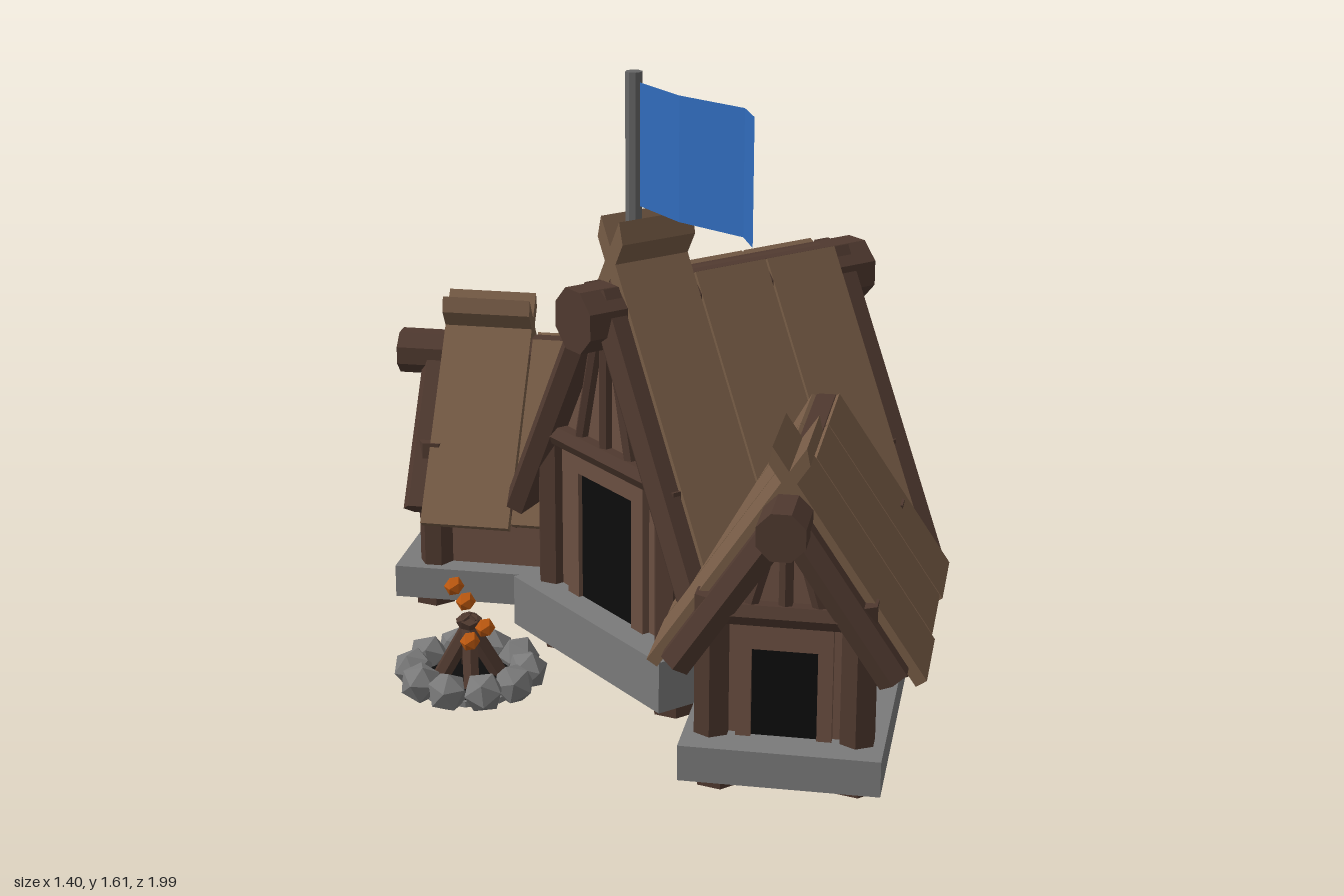
import * as THREE from 'three';

const mat = (color, side = THREE.FrontSide) => new THREE.MeshStandardMaterial({ color, flatShading: true, side });
const M = {
  roof: mat(0x775c46), wall: mat(0x6b4f41), log: mat(0x4f392f), stone: mat(0x7a7a7a),
  black: mat(0x0c0c0c), iron: mat(0x666666), flag: mat(0x306cbc, THREE.DoubleSide), ember: mat(0xc05a10),
};
const V = (x, y, z) => new THREE.Vector3(x, y, z);

function add(parent, name, geometry, material, x = 0, y = 0, z = 0) {
  const mesh = new THREE.Mesh(geometry, material);
  mesh.name = name;
  mesh.position.set(x, y, z);
  parent.add(mesh);
  return mesh;
}

// Box given by its minimum and maximum corners
function box(parent, name, material, a, b) {
  add(parent, name, new THREE.BoxGeometry(b[0] - a[0], b[1] - a[1], b[2] - a[2]), material,
    (a[0] + b[0]) / 2, (a[1] + b[1]) / 2, (a[2] + b[2]) / 2);
}

// Faceted round timber between two points
function log(parent, name, a, b, r, sides = 6, material = M.log) {
  const dir = b.clone().sub(a);
  const geometry = new THREE.CylinderGeometry(r, r, dir.length(), sides).rotateY(Math.PI / sides);
  const mesh = add(parent, name, geometry, material);
  mesh.position.copy(a).add(b).multiplyScalar(0.5);
  mesh.quaternion.setFromUnitVectors(V(0, 1, 0), dir.normalize());
}

// Roof plank running down the slope, its upper end optionally cut back underneath
function plankGeometry(width, thick, length, cut) {
  const geometry = new THREE.BoxGeometry(width, thick, length);
  const pos = geometry.attributes.position;
  for (let i = 0; i < pos.count; i++)
    if (pos.getY(i) < 0 && pos.getZ(i) < 0) pos.setZ(i, pos.getZ(i) + cut);
  return geometry;
}

// Timber hall with its ridge along x and its door at the -x end
function hall(name, p) {
  const g = new THREE.Group();
  g.name = name;
  const cos = Math.cos(p.angle), tan = Math.tan(p.angle);
  box(g, 'foundation', M.stone, [p.base[0], p.baseY[0], -p.base[2]], [p.base[1], p.baseY[1], p.base[2]]);

  // Gabled walls, extruded along the ridge
  const inner = p.apex - p.thick / cos - 0.005, floor = p.baseY[1], w = p.half;
  const gable = new THREE.Shape([
    new THREE.Vector2(-w, floor), new THREE.Vector2(w, floor), new THREE.Vector2(w, inner - w * tan),
    new THREE.Vector2(0, inner), new THREE.Vector2(-w, inner - w * tan),
  ]);
  const walls = new THREE.ExtrudeGeometry(gable, { depth: p.wall[1] - p.wall[0], bevelEnabled: false });
  add(g, 'walls', walls.rotateY(Math.PI / 2), M.wall, p.wall[0]);

  // Corner posts
  for (const x of p.wall) for (const s of [-1, 1])
    log(g, 'cornerPost', V(x, floor, s * w), V(x, inner - w * tan + 0.01, s * w), p.post);

  // Doorway with jambs, lintel and gable struts
  const f = p.wall[0], d = p.door;
  box(g, 'doorway', M.black, [f - 0.008, floor, -d[0]], [f, floor + d[1], d[0]]);
  for (const s of [-1, 1]) {
    const z = s * (d[0] + d[2] / 2);
    box(g, 'doorJamb', M.wall, [f - 0.02, floor, z - d[2] / 2], [f, p.lintel, z + d[2] / 2]);
  }
  box(g, 'doorHead', M.wall, [f - 0.02, floor + d[1], -d[0]], [f, p.lintel, d[0]]);
  const reach = (inner - p.lintel) / tan;
  log(g, 'lintel', V(f - 0.02, p.lintel, -reach), V(f - 0.02, p.lintel, reach), p.post * 0.65);
  for (const s of [-1, 0, 1])
    log(g, 'gableStrut', V(f - 0.015, p.lintel, s * reach * 0.45), V(f - 0.015, p.ridgeY, s * 0.02), p.post * 0.4);

  // Ridge log
  log(g, 'ridgeLog', V(p.ridge[0], p.ridgeY, 0), V(p.ridge[1], p.ridgeY, 0), p.ridgeR, 8);

  // Roof slopes: three wide planks each, the front one crossing over the ridge
  for (const s of [1, -1]) {
    const side = new THREE.Group(), slope = new THREE.Group();
    side.name = 'roofSide';
    slope.name = 'roofSlope';
    side.rotation.y = s > 0 ? 0 : Math.PI;
    slope.position.y = p.apex;
    slope.rotation.x = p.angle;
    side.add(slope);
    g.add(side);
    const pitch = (p.roof[1] - p.roof[0]) / 3;
    for (let i = 0; i < 3; i++) {
      const top = i === 0 ? -p.tip : p.start;
      const len = p.length - top - (i === 1 ? 0.012 : 0);
      add(slope, 'roofPlank', plankGeometry(pitch - 0.006, p.thick, len, i === 0 ? p.thick : 0), M.roof,
        s * (p.roof[0] + pitch * (i + 0.5)), -p.thick / 2, top + len / 2);
    }
    for (const x of p.rafters)
      log(slope, 'gableRafter', V(s * x, -p.rafterDrop, p.start), V(s * x, -p.rafterDrop, p.rafterEnd), p.rafterR);
  }
  return g;
}

// Ring of boulders around crossed firewood and flying embers
function firePit() {
  const g = new THREE.Group();
  g.name = 'firePit';
  g.position.set(-0.512, 0, 0.03);
  add(g, 'pitFloor', new THREE.CylinderGeometry(0.14, 0.14, 0.015, 10), M.stone, 0, 0.15, 0);
  add(g, 'ashBed', new THREE.CylinderGeometry(0.13, 0.13, 0.01, 10), M.black, 0, 0.162, 0);
  for (let i = 0; i < 10; i++) {
    const a = (i / 10) * Math.PI * 2;
    const rock = add(g, 'boulder', new THREE.IcosahedronGeometry(0.052, 0), M.stone,
      Math.cos(a) * 0.14, 0.18, Math.sin(a) * 0.14);
    rock.rotation.set(i * 1.3, i * 2.1, i * 0.7);
  }
  for (let i = 0; i < 4; i++) {
    const a = i * Math.PI / 2 + 0.5, c = Math.cos(a), s = Math.sin(a);
    log(g, 'firewood', V(c * 0.075, 0.16, s * 0.075), V(-c * 0.015, 0.32, -s * 0.015), 0.022);
  }
  for (const [x, y, z] of [[-0.04, 0.41, 0], [0.012, 0.345, -0.035], [-0.04, 0.29, 0.07], [0.015, 0.305, 0.05]])
    add(g, 'ember', new THREE.IcosahedronGeometry(0.025, 0), M.ember, x, y, z);
  return g;
}

// Pole with a banner folded along its length
function banner() {
  const g = new THREE.Group();
  g.name = 'banner';
  log(g, 'flagPole', V(-0.005, 1.1, 0), V(-0.005, 1.605, 0), 0.021, 8, M.iron);
  const folds = [[0, 0.01], [-0.012, 0.2], [0.03, 0.4], [-0.01, 0.49]];
  const cloth = new THREE.PlaneGeometry(1, 0.305, 3, 1);
  const pos = cloth.attributes.position;
  for (let i = 0; i < pos.count; i++) {
    pos.setX(i, folds[i % 4][0]);
    pos.setZ(i, folds[i % 4][1]);
  }
  cloth.computeVertexNormals();
  add(g, 'flag', cloth, M.flag, 0, 1.428, 0);
  return g;
}

export function createModel() {
  const model = new THREE.Group();
  model.name = 'longhouse';

  model.add(hall('mainHall', {
    base: [-0.16, 0.65, 0.335], baseY: [0.085, 0.22], wall: [-0.075, 0.575], half: 0.265, post: 0.045,
    door: [0.12, 0.34, 0.05], lintel: 0.64, angle: 1.054, apex: 1.18, length: 0.915, start: 0.1, tip: 0.08,
    thick: 0.04, roof: [-0.078, 0.588], rafters: [-0.1, 0.615], rafterR: 0.045, rafterDrop: 0.048, rafterEnd: 0.925,
    ridge: [-0.185, 0.7], ridgeY: 1.01, ridgeR: 0.084,
  }));

  // Two mirrored wings at 45 degrees to the hall
  for (const s of [1, -1]) {
    const wing = hall(s > 0 ? 'leftWing' : 'rightWing', {
      base: [-0.705, 0.19, 0.235], baseY: [0.092, 0.18], wall: [-0.605, 0.05], half: 0.17, post: 0.045,
      door: [0.077, 0.22, 0.035], lintel: 0.49, angle: 0.98, apex: 0.83, length: 0.583, start: 0.06, tip: 0.07,
      thick: 0.03, roof: [-0.61, 0.125], rafters: [-0.63], rafterR: 0.042, rafterDrop: 0.055, rafterEnd: 0.535,
      ridge: [-0.735, 0.125], ridgeY: 0.72, ridgeR: 0.061,
    });
    wing.rotation.y = s * Math.PI / 4;
    wing.position.set(0.465 * Math.SQRT1_2, 0, s * 0.465 * Math.SQRT1_2);
    model.add(wing);

    // Stilts: x, z and foot height
    for (const [x, z, y] of [[-0.055, 0.25, 0.037], [0.565, 0.25, 0], [0.275, 0.12, 0.037],
      [0.56, 0.385, 0.037], [-0.215, 0.655, 0.06], [0.02, 0.87, 0.06]])
      log(model, 'stilt', V(x, y, s * z), V(x, 0.1, s * z), 0.058);
  }

  model.add(firePit(), banner());
  return model;
}
